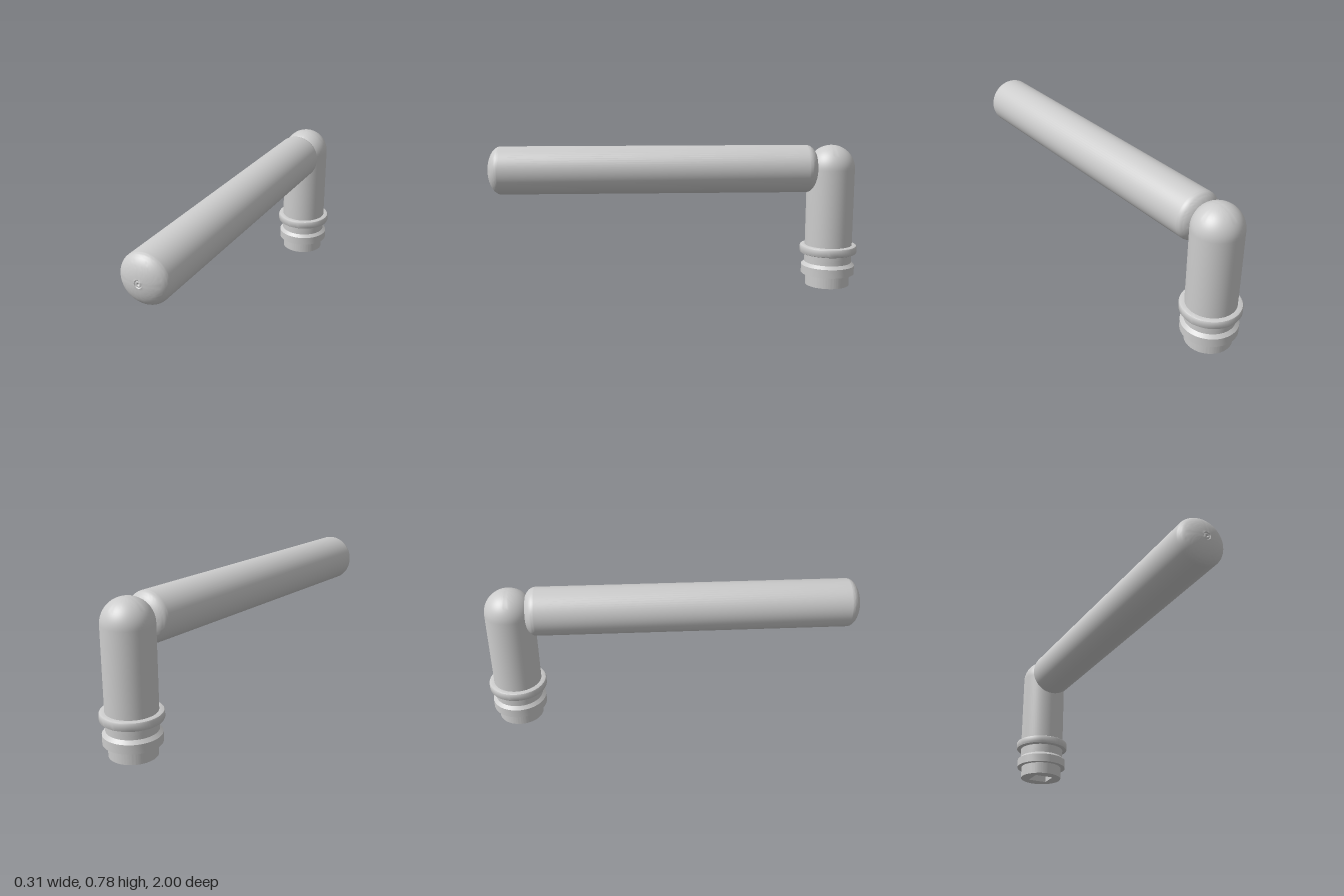
import * as THREE from 'three';
import { toCreasedNormals } from 'three/addons/utils/BufferGeometryUtils.js';

const R = 0.128;        // radius of post and lever
const POST_Z = -0.845;  // post axis
const LEVER_Y = 0.648;  // lever axis height
const SEGMENTS = 64;

export function createModel() {
  const model = new THREE.Group();
  model.name = 'doorHandle';
  const grey = new THREE.MeshStandardMaterial({ color: 0xcccccc });

  const add = (name, geometry, parent) => {
    const mesh = new THREE.Mesh(toCreasedNormals(geometry, 0.6), grey);
    mesh.name = name;
    parent.add(mesh);
    return mesh;
  };
  // Turned part from [radius, height] pairs, listed counter-clockwise
  const turned = (points) =>
    new THREE.LatheGeometry(points.map(([r, y]) => new THREE.Vector2(r, y)), SEGMENTS);
  // Quarter-ellipse profile between angles t0 and t1
  const dome = (radius, height, y, t0, t1, steps = 16) =>
    Array.from({ length: steps + 1 }, (_, i) => {
      const t = t0 + ((t1 - t0) * i) / steps;
      return [Math.max(0, radius * Math.cos(t)), y + height * Math.sin(t)];
    });

  const stem = new THREE.Group();
  stem.name = 'stem';
  stem.position.z = POST_Z;
  model.add(stem);

  // Upright post with a hemispherical top
  add('post', turned([[0, 0.15], [R, 0.15], ...dome(R, R, LEVER_Y, 0, Math.PI / 2)]), stem);

  // Upper flange with softened rims
  add('flange', turned([
    [0.12, 0.18], [0.146, 0.18], [0.152, 0.183], [0.155, 0.189],
    [0.155, 0.218], [0.152, 0.224], [0.146, 0.227], [0.12, 0.227],
  ]), stem);

  // Lower collar with a chamfer rising into the neck
  add('collar', turned([
    [0.11, 0.066], [0.145, 0.066], [0.145, 0.113], [R, 0.13], [R, 0.16],
  ]), stem);

  // Spigot with a square spindle socket
  const outline = new THREE.Shape().absarc(0, 0, 0.12, 0, Math.PI * 2, false);
  const h = 0.055;
  outline.holes.push(new THREE.Path([
    new THREE.Vector2(-h, -h), new THREE.Vector2(-h, h),
    new THREE.Vector2(h, h), new THREE.Vector2(h, -h),
  ]));
  const spigot = new THREE.ExtrudeGeometry(outline, {
    depth: 0.15, bevelEnabled: false, curveSegments: SEGMENTS,
  });
  spigot.rotateX(-Math.PI / 2);
  add('spigot', spigot, stem);

  // Grip bar with domed ends and a small dimple at the tip
  const tip = dome(R, 0.07, 0.93, 0, Math.PI / 2 - 0.16);
  const lever = add('lever', turned([
    ...dome(R, 0.07, -0.705, -Math.PI / 2, 0),
    ...tip,
    [0.016, 0.995], [0.011, 0.998], [0.007, 0.997], [0.003, 0.991], [0, 0.99],
  ]), model);
  lever.rotation.x = Math.PI / 2;
  lever.position.y = LEVER_Y;

  return model;
}
